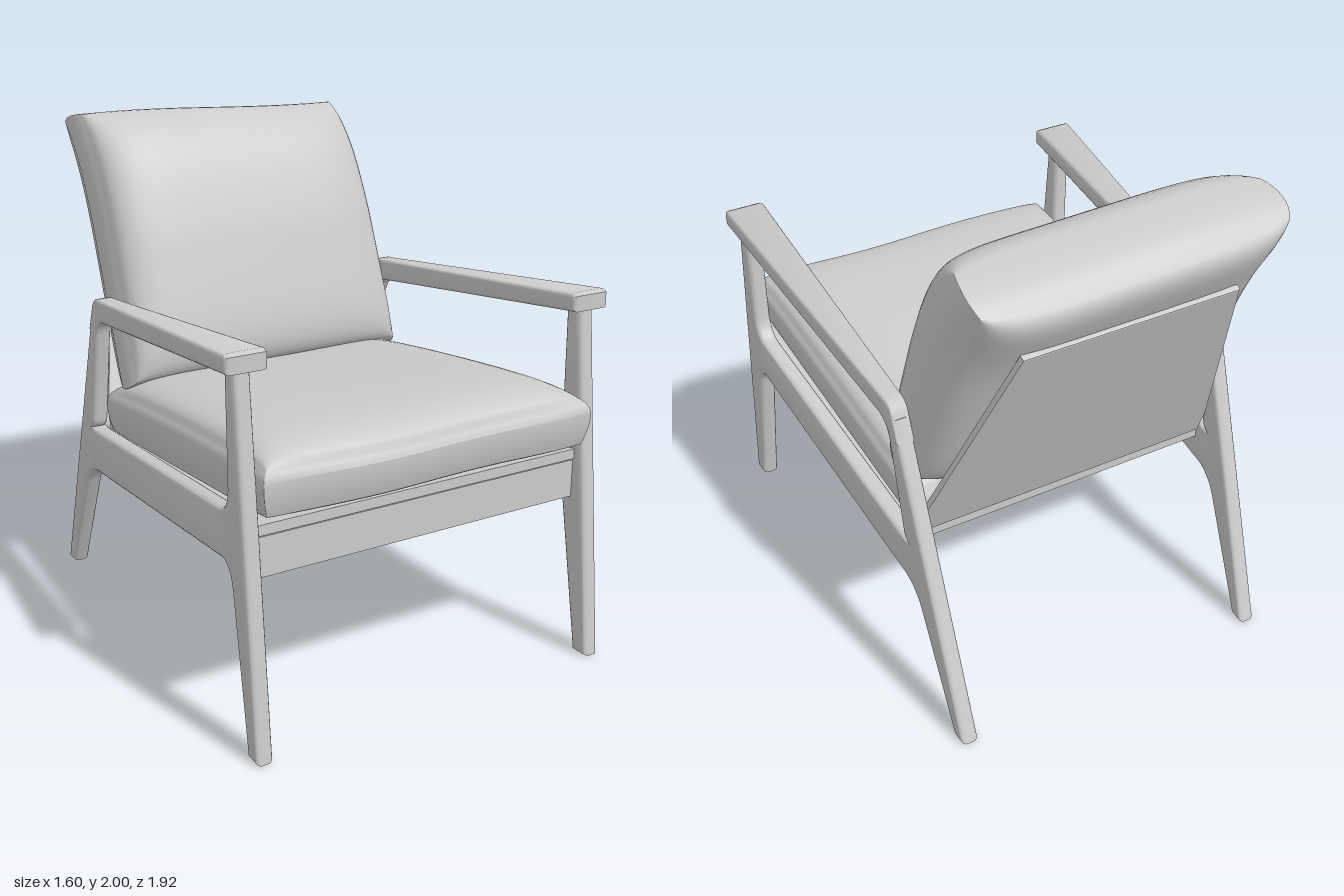
import * as THREE from 'three';
import { mergeVertices, toCreasedNormals } from 'three/addons/utils/BufferGeometryUtils.js';

const material = new THREE.MeshStandardMaterial({ color: 0xcccccc });
const lerp = THREE.MathUtils.lerp;

// Move every vertex of a geometry by a rule
function warp(geometry, rule) {
  const p = geometry.attributes.position;
  const v = new THREE.Vector3();
  for (let i = 0; i < p.count; i++) {
    rule(v.fromBufferAttribute(p, i));
    p.setXYZ(i, v.x, v.y, v.z);
  }
  return geometry;
}

function part(name, geometry) {
  const mesh = new THREE.Mesh(geometry, material);
  mesh.name = name;
  return mesh;
}

// Extrude a (z, y) outline along x; four numbers in a point make a curve: control, end
function sideProfile(points, width, side, bevel) {
  const shape = new THREE.Shape();
  points.forEach((p, i) => {
    if (i === 0) shape.moveTo(-side * p[0], p[1]);
    else if (p.length === 2) shape.lineTo(-side * p[0], p[1]);
    else shape.quadraticCurveTo(-side * p[0], p[1], -side * p[2], p[3]);
  });
  const geometry = new THREE.ExtrudeGeometry(shape, {
    depth: width - 2 * bevel, curveSegments: 6,
    bevelThickness: bevel, bevelSize: bevel, bevelOffset: -bevel, bevelSegments: 4,
  });
  geometry.translate(0, 0, bevel - width / 2);
  return geometry.rotateY(side * Math.PI / 2);
}

// Front leg, seat rail and rear leg in one outline
const FRAME = [
  [0.965, 0], [0.89, 0], [0.785, 0.59], [0.77, 0.672, 0.71, 0.675],
  [-0.52, 0.555], [-0.59, 0.545, -0.63, 0.47], [-0.86, 0], [-0.93, 0],
  [-0.485, 1.26], [-0.41, 1.26], [-0.44, 1.17], [-0.515, 0.79],
  [-0.52, 0.746, -0.55, 0.741], [-0.49, 0.747], [0.69, 0.86],
  [0.75, 0.87, 0.757, 0.95], [0.75, 1.40], [0.82, 1.40],
];
// Armrest with its bend into the rear leg
const ARM = [
  [0.85, 1.435], [0.85, 1.375], [0.80, 1.37], [-0.38, 1.23],
  [-0.425, 1.22, -0.44, 1.17], [-0.516, 1.17], [-0.475, 1.28],
  [-0.455, 1.32, -0.40, 1.317], [0.83, 1.445],
];

// Soft box in u, v, t = -1..1; t thins to a rim (one value per face), place() sets the final point
function cushion(name, rimFront, rimBack, place) {
  const box = new THREE.BoxGeometry(2, 2, 2, 30, 30, 8);
  box.deleteAttribute('uv');
  box.deleteAttribute('normal');
  const geometry = mergeVertices(box);
  warp(geometry, (p) => {
    const t = p.z;
    const u = Math.sin(p.x * Math.PI / 2);
    const v = Math.sin(p.y * Math.PI / 2);
    const full = Math.sqrt(Math.max(0, (1 - u ** 6) * (1 - v ** 6)));
    const rim = t > 0 ? rimFront : rimBack;
    const bulge = 1 - 0.03 * t * t;
    place(p, u * lerp(1, bulge, u * u), v * lerp(1, bulge, v * v),
      t * (rim + (1 - rim) * full));
  });
  geometry.computeVertexNormals();
  return part(name, geometry);
}

export function createModel() {
  const chair = new THREE.Group();
  chair.name = 'armchair';

  // Side frames splay outwards towards the front; armrests widen there
  for (const side of [1, -1]) {
    const label = side > 0 ? 'left' : 'right';
    const frame = warp(sideProfile(FRAME, 0.068, side, 0.02), (p) => {
      p.x += side * (0.686 + 0.047 * p.z);
    });
    chair.add(part(label + 'SideFrame', toCreasedNormals(frame, 0.7)));

    const arm = warp(sideProfile(ARM, 0.16, side, 0.016), (p) => {
      const k = THREE.MathUtils.clamp((p.z + 0.45) / 1.3, 0, 1);
      p.x = p.x * lerp(0.44, 1, k) + side * lerp(0.662, 0.72, k);
    });
    chair.add(part(label + 'Armrest', toCreasedNormals(arm, 0.7)));
  }

  // Front rail
  const rail = new THREE.BoxGeometry(1.4, 0.15, 0.05);
  rail.translate(0, 0.71, 0.81);
  chair.add(part('frontRail', rail));

  // Sloping seat board, narrower at the back
  const board = warp(new THREE.BoxGeometry(2, 0.04, 1.33), (p) => {
    p.z += 0.175;
    p.x *= 0.665 + 0.046 * p.z;
    p.y += 0.735 + 0.09 * p.z;
  });
  board.computeVertexNormals();
  chair.add(part('seatBoard', board));

  // Tapered back panel
  const outline = new THREE.Shape([
    [-0.63, 0], [0.63, 0], [0.62, 0.14], [0.42, 1.07], [-0.42, 1.07], [-0.62, 0.14],
  ].map(([x, y]) => new THREE.Vector2(x, y)));
  const panel = part('backPanel', new THREE.ExtrudeGeometry(outline, {
    depth: 0.014, bevelSize: 0.006, bevelThickness: 0.006, bevelOffset: -0.006, bevelSegments: 2,
  }));
  panel.position.set(0, 0.71, -0.49);
  panel.rotation.x = -0.395;
  chair.add(panel);

  // Seat cushion: v runs front to back, t upwards; fuller below, crowned on top
  chair.add(cushion('seatCushion', 0.35, 0.78, (p, u, v, t) => {
    const z = 0.205 - 0.705 * v;
    const crown = t > 0 ? 0.015 * (u * u - v * v) : 0;
    p.set(u * (0.66 + 0.035 * z), 0.905 + 0.1 * z + (t > 0 ? 0.14 : 0.155) * t + crown,
      z + 0.008 * Math.sin(u * 5) * v);
  }));

  // Back cushion: v runs up the leaning back, t forwards; the top curls backwards
  const lean = 0.366;
  chair.add(cushion('backCushion', 0.45, 0.4, (p, u, v, t) => {
    const top = Math.max(v, 0);
    const bottom = Math.max(-v, 0);
    const along = 0.552 + 0.557 * v - 0.016 * top * Math.sin(u * 2);
    const out = 0.075 + 0.22 * t - 0.1 * top ** 3 - 0.04 * bottom * Math.max(t, 0);
    p.set(u * (0.612 - 0.016 * v) - 0.012 * v,
      0.93 + along * Math.cos(lean) + out * Math.sin(lean),
      -0.42 - along * Math.sin(lean) + out * Math.cos(lean));
  }));

  return chair;
}
